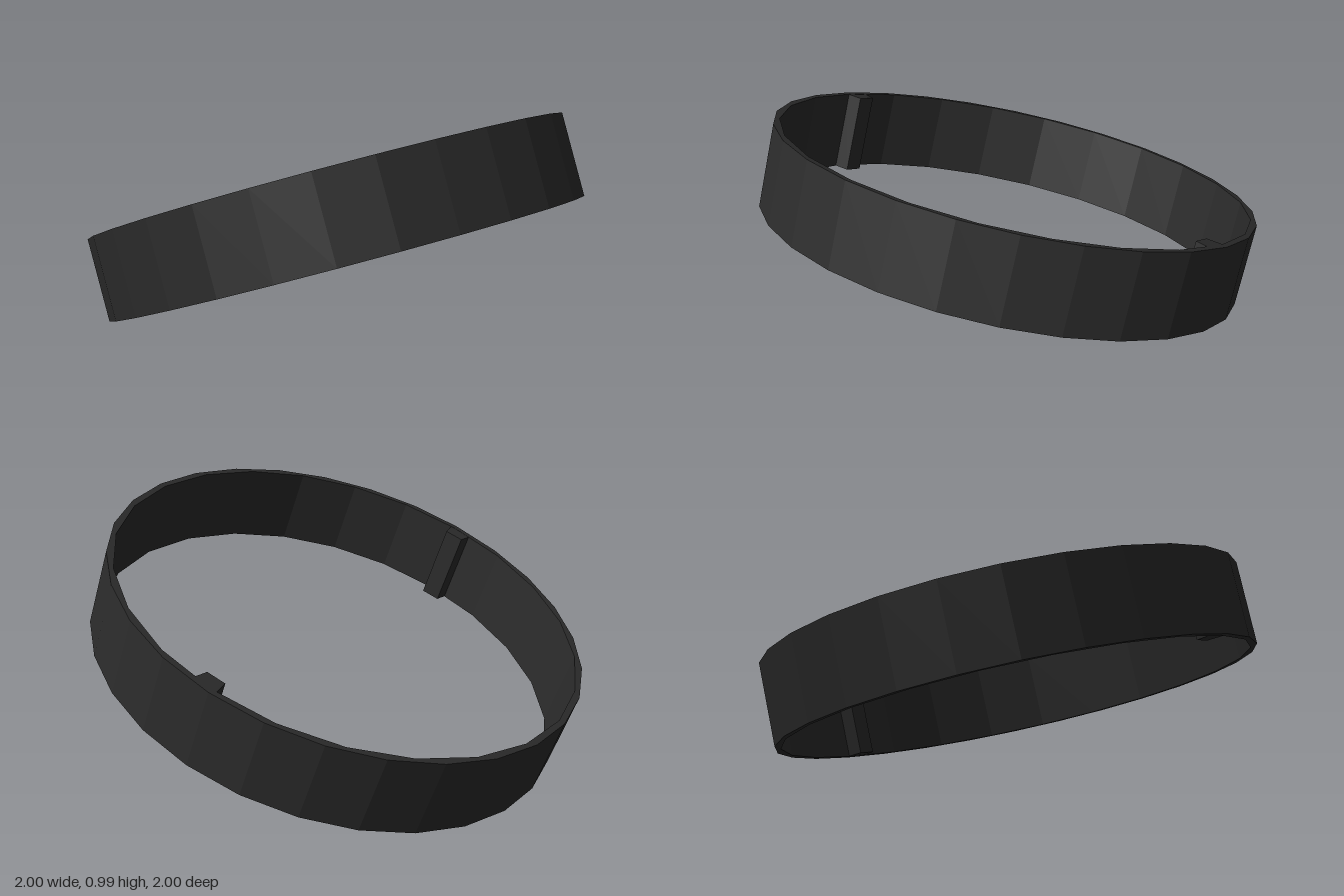
import * as THREE from 'three';

const HEIGHT = 0.34;
const TILT = THREE.MathUtils.degToRad(19.4);

// Points of a regular polygon
function polygon(radius, sides) {
  return Array.from({ length: sides }, (_, i) => {
    const a = (i / sides) * Math.PI * 2;
    return new THREE.Vector2(radius * Math.cos(a), radius * Math.sin(a));
  });
}

// Extrude a plan shape upwards, centred on its height
function extrudeUp(shape) {
  const geo = new THREE.ExtrudeGeometry(shape, { depth: HEIGHT, bevelEnabled: false });
  geo.translate(0, 0, -HEIGHT / 2);
  geo.rotateX(-Math.PI / 2);
  return geo;
}

export function createModel() {
  const model = new THREE.Group();
  model.name = 'tiltedRing';
  const material = new THREE.MeshStandardMaterial({ color: 0x2b2b2b, flatShading: true });

  const band = new THREE.Group();
  band.name = 'band';
  band.rotation.x = -TILT;
  band.position.y = 0.4925;
  model.add(band);

  // Thin hoop: faceted outside, slightly coarser inside
  const hoop = new THREE.Shape(polygon(1, 28));
  hoop.holes.push(new THREE.Path(polygon(0.975, 24)));
  const wall = new THREE.Mesh(extrudeUp(hoop), material);
  wall.name = 'ringWall';
  band.add(wall);

  // Two tapered ribs on the inside, opposite each other
  const ribShape = new THREE.Shape([
    new THREE.Vector2(-0.983, -0.018),
    new THREE.Vector2(-0.908, -0.008),
    new THREE.Vector2(-0.908, 0.073),
    new THREE.Vector2(-0.983, 0.088),
  ]);
  ['rightRib', 'leftRib'].forEach((name, i) => {
    const rib = new THREE.Mesh(extrudeUp(ribShape), material);
    rib.name = name;
    rib.rotation.y = i * Math.PI;
    rib.scale.y = 0.995;
    band.add(rib);
  });

  return model;
}
